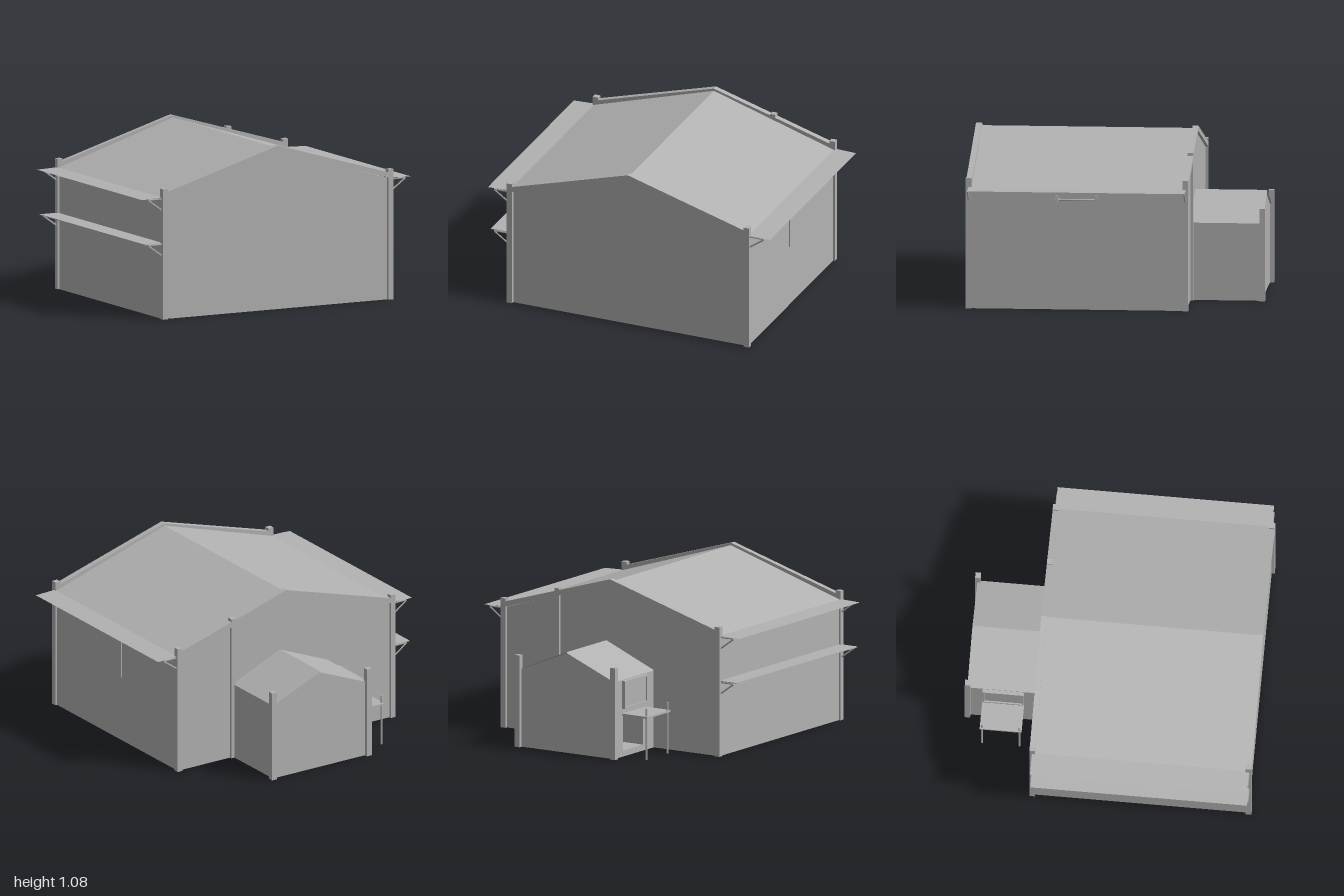
import * as THREE from 'three';

export function createModel() {
  const model = new THREE.Group();
  const grey = new THREE.MeshStandardMaterial({ color: 0xb2b2b2, side: THREE.DoubleSide });
  grey.name = 'plain grey';

  const add = (name, geometry) => {
    const mesh = new THREE.Mesh(geometry, grey);
    mesh.name = name;
    model.add(mesh);
    return mesh;
  };
  // Box given by its two extreme corners
  const box = (name, x0, x1, y0, y1, z0, z1) =>
    add(name, new THREE.BoxGeometry(x1 - x0, y1 - y0, z1 - z0))
      .position.set((x0 + x1) / 2, (y0 + y1) / 2, (z0 + z1) / 2);
  // Outline in x, y pushed along z
  const prism = (name, points, z0, z1) => {
    const shape = new THREE.Shape(points.map(p => new THREE.Vector2(...p)));
    const g = new THREE.ExtrudeGeometry(shape, { depth: z1 - z0, bevelEnabled: false });
    return add(name, g.translate(0, 0, z0));
  };
  // Thin round or square bar between two points
  const bar = (name, a, b, r, sides = 6) => {
    const p = new THREE.Vector3(...a), q = new THREE.Vector3(...b);
    const m = add(name, new THREE.CylinderGeometry(r, r, p.distanceTo(q), sides).toNonIndexed());
    m.position.copy(p).add(q).multiplyScalar(0.5);
    m.quaternion.setFromUnitVectors(new THREE.Vector3(0, 1, 0), q.sub(p).normalize());
  };
  // Open sheet following a profile in x, y, with hard folds
  const sheet = (name, profile, z0, z1) => {
    const v = [];
    for (let i = 0; i < profile.length - 1; i++) {
      const [a, b] = [profile[i], profile[i + 1]];
      v.push(...a, z0, ...a, z1, ...b, z1, ...a, z0, ...b, z1, ...b, z0);
    }
    const g = new THREE.BufferGeometry();
    g.setAttribute('position', new THREE.Float32BufferAttribute(v, 3));
    g.computeVertexNormals();
    add(name, g);
  };

  // Main hall
  const front = 0.94, back = -0.475;
  prism('hallWalls', [[-0.845, 0], [0.845, 0], [0.845, 0.795], [0, 1.052], [-0.845, 0.795]], back, front);
  sheet('hallRoof', [[-1, 0.797], [-0.85, 0.802], [0, 1.066], [0.85, 0.802], [1, 0.797]], back, front);

  for (const [z0, z1] of [[0.922, 0.96], [-0.492, -0.455]]) {
    const zm = (z0 + z1) / 2;
    prism('gableTrim', [[-0.84, 0.8], [0, 1.047], [0.84, 0.8], [0.84, 0.835], [0, 1.082], [-0.84, 0.835]], z0, z1);
    for (const s of [-1, 1]) {
      const x0 = s < 0 ? -0.858 : 0.82;
      box('cornerPost', x0, x0 + 0.038, 0, 0.86, z0, z1);
      // Brackets holding the eaves
      bar('eaveArm', [s * 0.85, 0.793, zm], [s * 0.955, 0.793, zm], 0.006, 4);
      bar('eaveBrace', [s * 0.85, 0.715, zm], [s * 0.955, 0.79, zm], 0.006, 4);
    }
    bar('shelfArm', [-0.85, 0.493, zm], [-0.955, 0.493, zm], 0.006, 4);
    bar('shelfBrace', [-0.85, 0.415, zm], [-0.955, 0.49, zm], 0.006, 4);
  }
  box('rearWallPost', 0.4, 0.435, 0, 0.975, -0.492, -0.455);

  // Long side shelf
  box('sideShelf', -0.98, -0.845, 0.497, 0.502, back, front);

  // Hanging board on the side wall
  box('hangingBoard', 0.888, 0.893, 0.472, 0.725, 0.11, 0.365);
  bar('boardRod', [0.89, 0.731, 0.1], [0.89, 0.731, 0.375], 0.007, 8);
  for (const z of [0.108, 0.365]) {
    box('rodHolder', 0.845, 0.897, 0.735, 0.747, z - 0.007, z + 0.007);
    box('rodHook', 0.88, 0.897, 0.722, 0.76, z - 0.007, z + 0.007);
  }

  // Rear annex, with a niche in its side below the counter
  const top = [[0.41, 0], [0.41, 0.51], [0.04, 0.662], [-0.33, 0.51]];
  const plain = [[-0.33, 0], ...top];
  const niche = [[-0.33, 0], ...top, [-0.33, 0.28], [-0.13, 0.28], [-0.13, 0.04], [-0.33, 0.04]];
  prism('annexWalls', plain, -0.935, -0.83);
  prism('annexNiche', niche, -0.83, -0.6);
  prism('annexWalls', plain, -0.6, back);
  sheet('annexRoof', [[-0.332, 0.514], [0.04, 0.67], [0.412, 0.514]], -0.945, back);
  for (const x of [-0.352, 0.395]) box('annexPost', x, x + 0.038, 0, 0.61, -0.96, -0.925);

  // Serving hatch and its frame
  box('hatchPanel', -0.345, -0.33, 0.33, 0.495, -0.835, -0.585);
  for (const z of [-0.845, -0.587]) box('hatchSide', -0.355, -0.33, 0.32, 0.505, z, z + 0.012);
  for (const y of [0.32, 0.493]) box('hatchRail', -0.355, -0.33, y, y + 0.012, -0.845, -0.575);

  // Counter on two legs
  box('counter', -0.528, -0.33, 0.275, 0.288, -0.847, -0.573);
  for (const z of [-0.832, -0.588]) bar('counterLeg', [-0.515, 0, z], [-0.515, 0.34, z], 0.007, 8);

  return model;
}
